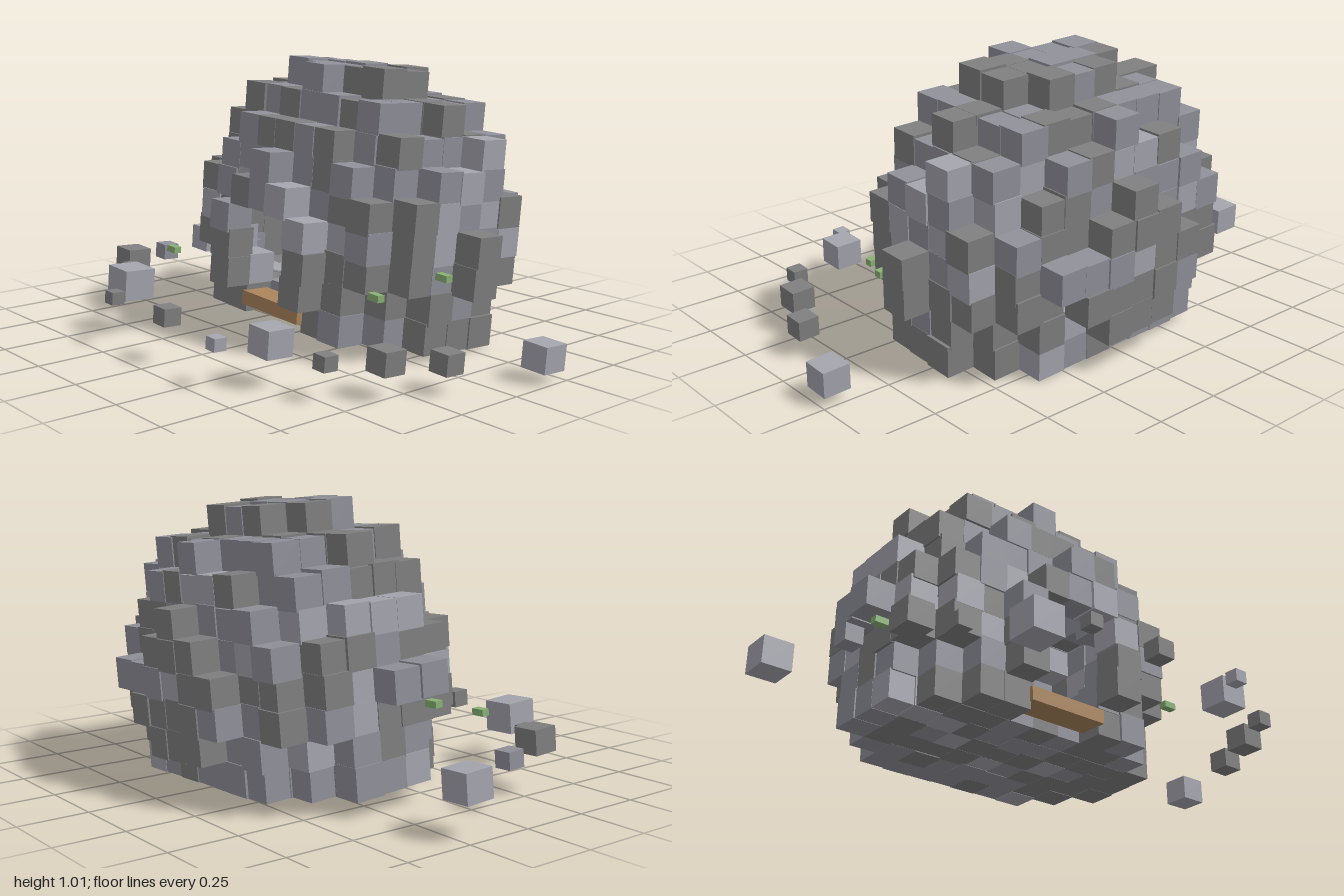
import * as THREE from 'three';
import { mergeGeometries } from 'three/addons/utils/BufferGeometryUtils.js';

const STEP = 0.105, RISE = 0.1045;
const TILT = new THREE.Euler(-0.057, 0, -0.042);
const SHADES = [0x7f7f7f, 0x90909a, 0xa4a4ae];

// Repeatable pseudo-random numbers
let seed = 7;
const rand = () => {
  seed = (seed * 16807) % 2147483647;
  return seed / 2147483647;
};

const material = (color) => new THREE.MeshStandardMaterial({ color });

function block(name, size, position, mat) {
  const mesh = new THREE.Mesh(new THREE.BoxGeometry(...size), mat);
  mesh.name = name;
  mesh.position.set(...position);
  return mesh;
}

// Grid cells inside the rounded mound; j = 0 is the ground layer
function inMound(i, j, k) {
  if (j < 0) return false;
  // Flattened crown
  if (j === 8 && (k === -2 || (k === -1 && Math.abs(i) === 2))) return false;
  if (j === 7 && k === 3) return false;
  const x = (i * STEP) / 0.62;
  const y = ((j + 0.5) * 0.107 - 0.35) / 0.635;
  const z = (k * STEP) / 0.455;
  return x * x + y * y + z * z <= 1;
}

// Only cells with an exposed side belong to the hollow shell
const isShell = (i, j, k) => inMound(i, j, k) && !(
  inMound(i - 1, j, k) && inMound(i + 1, j, k) &&
  inMound(i, j - 1, k) && inMound(i, j + 1, k) &&
  inMound(i, j, k - 1) && inMound(i, j, k + 1));

const isDoorway = (i, j, k) => Math.abs(i) <= 1 && j <= 3 && k >= (j ? 2 : 3);

// Stones that stand out from the mound: sides, shoulder, back, door pillars
const KNOBS = [
  [6, 2, 0], [6, 3, 0], [-6, 3, 0], [-6, 3, 1],
  [5, 6, -1], [3, 3, -4], [-2, 1, 4], [2, 1, 4],
];

function buildCave(stone) {
  const cave = new THREE.Group();
  cave.name = 'cave';
  const cells = [...KNOBS];
  for (let i = -6; i <= 6; i++)
    for (let j = 0; j <= 8; j++)
      for (let k = -4; k <= 4; k++)
        if (isShell(i, j, k) && !isDoorway(i, j, k)) cells.push([i, j, k]);

  // Stones, slightly uneven, gathered by shade
  const piles = [[], [], []];
  for (const [i, j, k] of cells) {
    const r = rand();
    const shade = r < 0.55 ? 0 : r < 0.87 ? 1 : 2;
    const s = 0.108 + rand() * 0.006;
    const jitter = () => (rand() - 0.5) * 0.012;
    const g = new THREE.BoxGeometry(s, s, s);
    g.translate(i * STEP + jitter(), (j + 0.5) * RISE + (j ? jitter() : 0), k * STEP + jitter());
    piles[shade].push(g);
  }
  piles.forEach((pile, n) => {
    const mesh = new THREE.Mesh(mergeGeometries(pile), stone[n]);
    mesh.name = ['darkStones', 'mediumStones', 'lightStones'][n];
    cave.add(mesh);
  });

  // Wooden planks at the entrance
  const wood = material(0xaa845c);
  cave.add(block('lowerPlank', [0.32, 0.052, 0.11], [0, 0.054, 0.335], wood));
  cave.add(block('upperPlank', [0.31, 0.02, 0.06], [-0.005, 0.118, 0.13], wood));

  cave.position.set(-0.01, 0.04, -0.19);
  cave.rotation.copy(TILT);
  return cave;
}

// Loose stones around the entrance: x, y, z, size, shade
const RUBBLE = [
  [-0.94, 0.17, -0.208, 0.11, 2], [0.945, 0.082, -0.196, 0.1, 2],
  [-0.825, 0.174, 0.094, 0.066, 1], [0.83, 0.102, 0.139, 0.078, 0],
  [-0.735, 0.188, 0.314, 0.097, 0], [0.74, 0.122, 0.319, 0.088, 0],
  [-0.615, 0.177, 0.399, 0.056, 0], [0.64, 0.126, 0.483, 0.056, 0],
  [-0.415, 0.187, 0.524, 0.122, 2], [0.415, 0.151, 0.52, 0.104, 2],
  [-0.31, 0.171, 0.659, 0.05, 0], [-0.005, 0.166, 0.638, 0.068, 0],
  [0.32, 0.148, 0.668, 0.048, 2],
];

// Moss tufts on the walls
const MOSS = [
  [-0.625, 0.342, -0.058], [-0.527, 0.253, 0.257],
  [0.515, 0.25, 0.154], [0.622, 0.304, -0.058],
];

export function createModel() {
  const model = new THREE.Group();
  model.name = 'stoneCave';
  const stone = SHADES.map(material);
  model.add(buildCave(stone));

  for (const [x, y, z, s, shade] of RUBBLE) {
    const mesh = block('looseStone', [s, s * 0.92, s], [x, y, z], stone[shade]);
    mesh.rotation.copy(TILT);
    model.add(mesh);
  }

  const green = material(0x88b274);
  for (const p of MOSS) {
    const mesh = block('moss', [0.052, 0.024, 0.03], p, green);
    mesh.rotation.copy(TILT);
    model.add(mesh);
  }
  return model;
}
